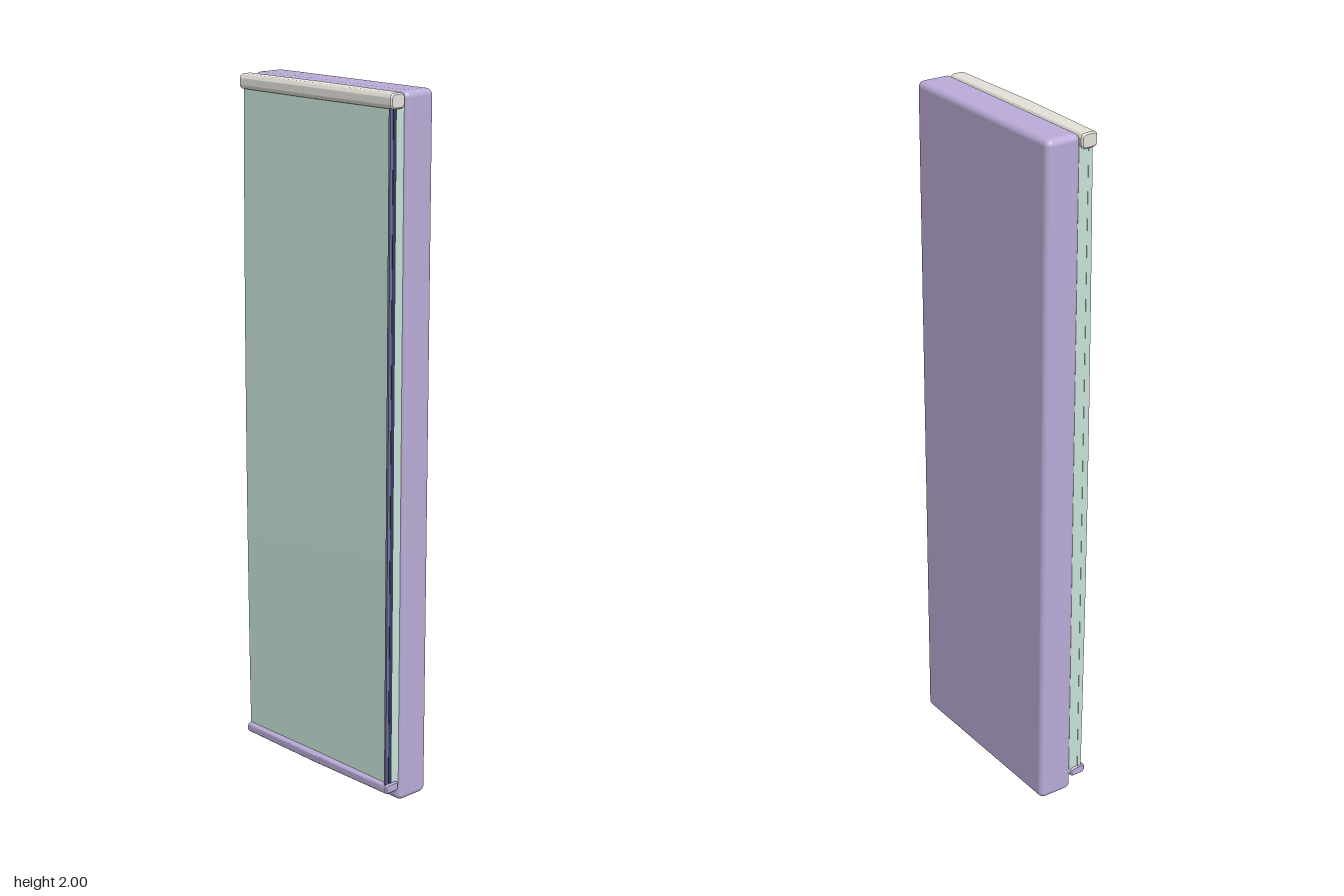
import * as THREE from 'three';
import { toCreasedNormals } from 'three/addons/utils/BufferGeometryUtils.js';
import { RoundedBoxGeometry } from 'three/addons/geometries/RoundedBoxGeometry.js';

const material = (name, color) => {
  const m = new THREE.MeshStandardMaterial({ color });
  m.name = name;
  return m;
};

// Bar along x with a rounded section, swelling slightly towards its middle
function railGeometry(width, height, depth, radius, bulge) {
  const a = depth / 2, b = height / 2, r = radius, t = 0.004;
  const section = new THREE.Shape();
  section.absarc(a - r, b - r, r, 0, Math.PI / 2);
  section.absarc(r - a, b - r, r, Math.PI / 2, Math.PI);
  section.absarc(r - a, r - b, r, Math.PI, Math.PI * 1.5);
  section.absarc(a - r, r - b, r, Math.PI * 1.5, Math.PI * 2);
  section.closePath();
  const geo = new THREE.ExtrudeGeometry(section, {
    depth: width - 2 * t, steps: 8, curveSegments: 5, bevelEnabled: true,
    bevelThickness: t, bevelSize: t, bevelOffset: -t, bevelSegments: 1,
  });
  geo.translate(0, 0, t - width / 2);
  geo.rotateY(Math.PI / 2);
  const p = geo.attributes.position;
  for (let i = 0; i < p.count; i++) {
    const k = 1 - Math.abs(p.getX(i)) / (width / 2);
    if (p.getZ(i) > 0) p.setZ(i, p.getZ(i) + bulge * k);
    if (p.getY(i) > 0) p.setY(i, p.getY(i) + bulge * 0.4 * k);
  }
  return toCreasedNormals(geo, 0.7);
}

export function createModel() {
  const group = new THREE.Group();
  const purple = material('purple', 0xbaabd7);
  const green = material('pale green', 0xc6e2d6);
  const beige = material('warm grey', 0xe4e1d9);
  const navy = material('dark navy', 0x363a5c);
  const slate = material('slate', 0x70729a);

  const add = (name, geo, mat, x, y, z) => {
    const mesh = new THREE.Mesh(geo, mat);
    mesh.name = name;
    mesh.position.set(x, y, z);
    group.add(mesh);
  };
  // Box given by its limits on each axis
  const slab = (name, mat, x0, x1, y0, y1, z0, z1) =>
    add(name, new THREE.BoxGeometry(x1 - x0, y1 - y0, z1 - z0), mat,
      (x0 + x1) / 2, (y0 + y1) / 2, (z0 + z1) / 2);

  // Cabinet body
  add('body', new RoundedBoxGeometry(0.605, 2, 0.106, 4, 0.018), purple, 0, 1, -0.029);

  // Layered door with a two-tone strip down its left edge
  const y0 = 0.05, y1 = 1.965;
  slab('doorBack', green, -0.296, 0.294, y0, y1, 0.02, 0.05);
  slab('doorSeam', navy, 0.284, 0.296, y0, y1, 0.05, 0.062);
  slab('doorEdge', slate, 0.288, 0.295, y0, y1, 0.062, 0.071);

  // Front skin, bowed slightly at mid height
  const skin = new THREE.BoxGeometry(0.583, y1 - y0, 0.012, 1, 8, 1);
  const p = skin.attributes.position;
  for (let i = 0; i < p.count; i++) {
    if (p.getZ(i) > 0) {
      const v = 2 * p.getY(i) / (y1 - y0);
      p.setZ(i, p.getZ(i) + 0.006 * (1 - v * v));
    }
  }
  skin.computeVertexNormals();
  add('doorFront', skin, green, -0.0055, (y0 + y1) / 2, 0.056);

  // Top cap and bottom rail
  add('topCap', railGeometry(0.604, 0.042, 0.05, 0.013, 0.004), beige, 0, 1.977, 0.05);
  add('bottomRail', railGeometry(0.6, 0.029, 0.05, 0.011, 0.004), purple, 0, 0.05, 0.05);

  return group;
}
